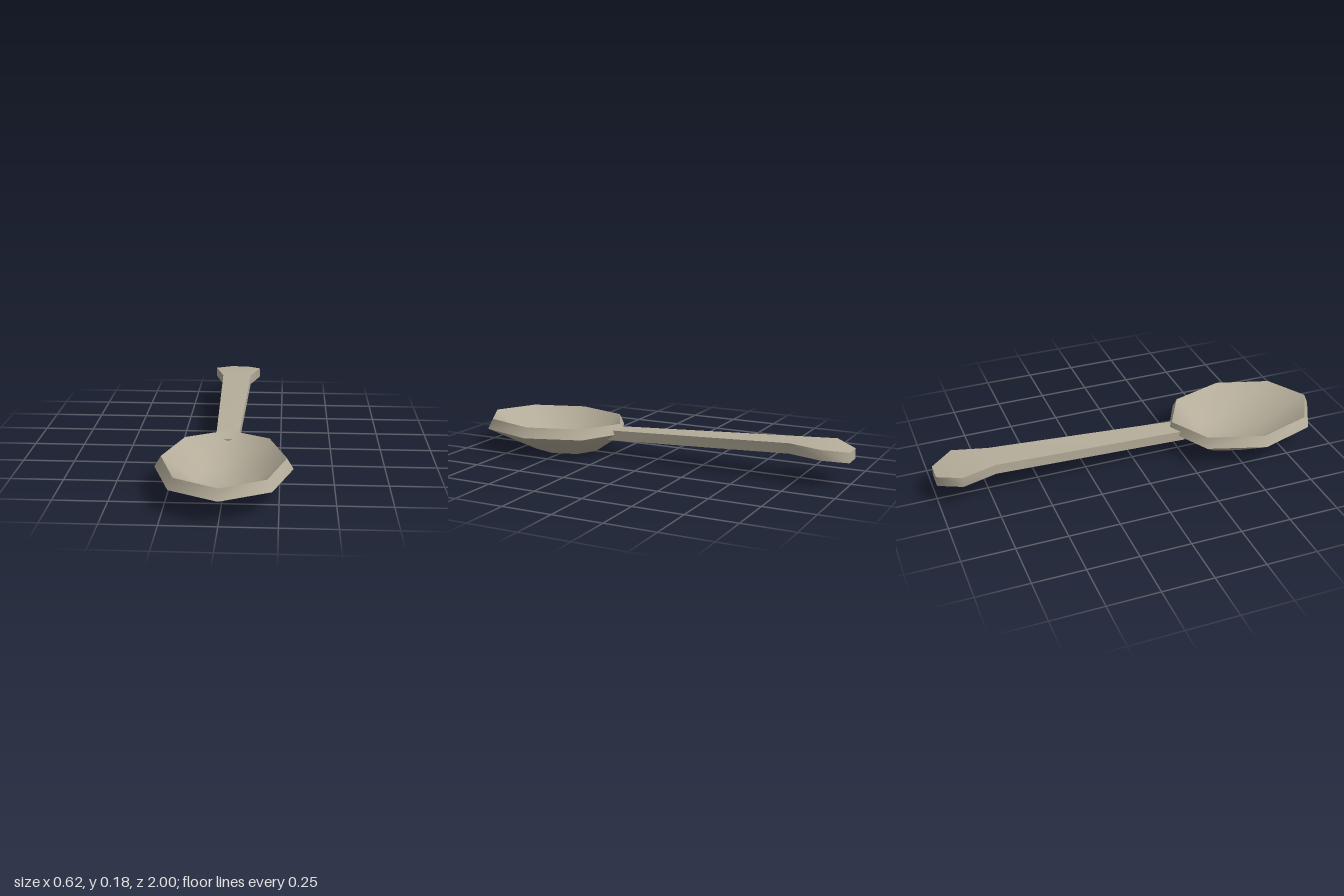
import * as THREE from 'three';
import { toCreasedNormals } from 'three/addons/utils/BufferGeometryUtils.js';

// Skins a list of equal-sized rings and closes both ends with a fan.
function loft(rings) {
  const n = rings[0].length, last = rings.length - 1;
  const points = rings.flat(), index = [];
  const centre = ring => ring.reduce((sum, p) => sum.add(p), new THREE.Vector3()).divideScalar(n);
  points.push(centre(rings[0]), centre(rings[last]));
  const start = points.length - 2, end = points.length - 1;
  for (let j = 0; j < n; j++) {
    const k = (j + 1) % n;
    for (let i = 0; i < last; i++) {
      const a = i * n + j, b = i * n + k;
      index.push(a, b, b + n, a, b + n, a + n);
    }
    index.push(start, k, j, end, last * n + j, last * n + k);
  }
  const geometry = new THREE.BufferGeometry().setFromPoints(points);
  geometry.setIndex(index);
  return toCreasedNormals(geometry, 1.0);
}

// Eight-sided oval ring lying flat.
function oval(y, halfWidth, halfLength, z) {
  return Array.from({ length: 8 }, (_, i) => {
    const a = i * Math.PI / 4;
    return new THREE.Vector3(Math.sin(a) * halfWidth, y, z + Math.cos(a) * halfLength);
  });
}

// Rectangular slice across the handle, slightly off centre.
function slice(z, halfWidth, top, bottom) {
  const x = -0.006;
  return [[1, top], [1, bottom], [-1, bottom], [-1, top]]
    .map(([side, y]) => new THREE.Vector3(x + side * halfWidth, y, z));
}

export function createModel() {
  const metal = new THREE.MeshStandardMaterial({ color: 0xb5ad9a });
  metal.name = 'dull metal';
  const spoon = new THREE.Group();
  spoon.name = 'spoon';

  // Bowl: underside, flared rim, then down into the hollow
  const bowl = new THREE.Mesh(loft([
    oval(0, 0.14, 0.18, 0.54),
    oval(0.11, 0.312, 0.4, 0.597),
    oval(0.16, 0.282, 0.38, 0.595),
    oval(0.03, 0.14, 0.18, 0.55),
  ]), metal);
  bowl.name = 'bowl';

  // Handle: tapered bar widening to a blunt, down-turned tip
  const handle = new THREE.Mesh(loft([
    slice(0.262, 0.053, 0.131, 0.08),
    slice(-0.72, 0.078, 0.18, 0.13),
    slice(-0.89, 0.125, 0.178, 0.128),
    slice(-1, 0.047, 0.16, 0.11),
  ]), metal);
  handle.name = 'handle';

  spoon.add(bowl, handle);
  return spoon;
}
